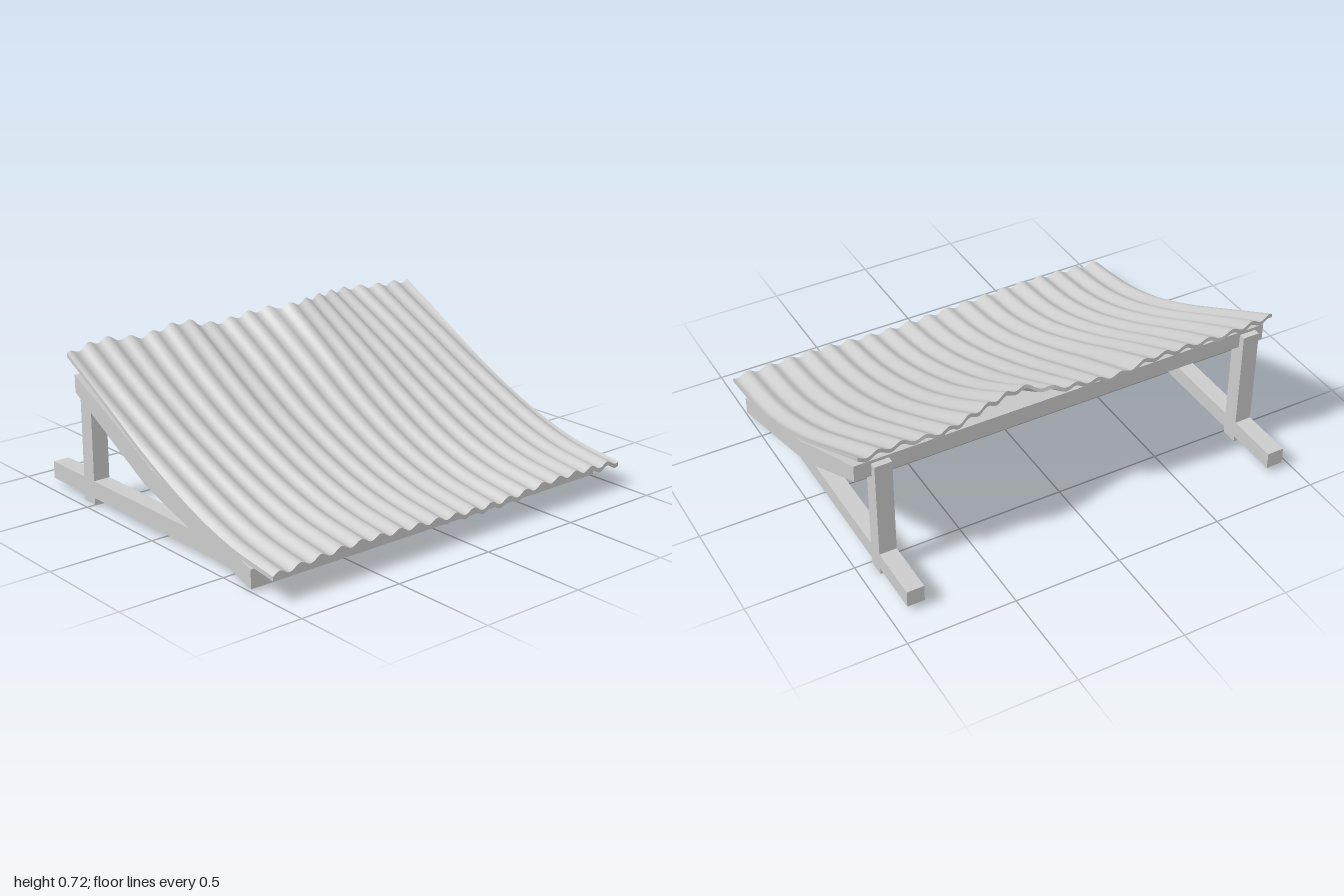
import * as THREE from 'three';

const v2 = (pts) => pts.map(([x, y]) => new THREE.Vector2(x, y));
const spline = (pts) => new THREE.SplineCurve(v2(pts));

// Value of a curve of evenly or unevenly spaced (x, value) points at a given x
function sampler(pts) {
  const table = spline(pts).getPoints(200);
  return (x) => {
    let i = 1;
    while (i < table.length - 1 && table[i].x < x) i++;
    const a = table[i - 1], b = table[i];
    return THREE.MathUtils.lerp(a.y, b.y, (x - a.x) / (b.x - a.x));
  };
}

export function createModel() {
  const model = new THREE.Group();
  const material = new THREE.MeshStandardMaterial({ color: 0xcccccc });
  const add = (name, geometry, x = 0, y = 0, z = 0) => {
    const mesh = new THREE.Mesh(geometry, material);
    mesh.name = name;
    mesh.position.set(x, y, z);
    model.add(mesh);
  };

  // Bent slab under the sheet: side profile as (-z, y), extruded across x
  const profile = new THREE.Shape(v2([
    [-0.68, 0.01], [0.04, 0.24], [0.555, 0.52], [0.555, 0.6],
    [0.17, 0.415], [0, 0.325], [-0.3, 0.22], [-0.68, 0.095],
  ]));
  const slab = new THREE.ExtrudeGeometry(profile, { depth: 1.996, bevelEnabled: false });
  slab.translate(0, 0, -0.998).rotateY(Math.PI / 2);
  add('rampSlab', slab);

  // Corrugated sheet: a thin box bent along the ramp, rippled across x
  const height = sampler([[-0.83, 0.113], [-0.56, 0.152], [-0.3, 0.23], [0, 0.36], [0.23, 0.478], [0.62, 0.685]]);
  const backEdge = sampler([[-1, 0.605], [-0.78, 0.642], [-0.6, 0.622], [-0.37, 0.635], [-0.1, 0.622],
    [0.08, 0.608], [0.22, 0.55], [0.4, 0.585], [0.62, 0.635], [0.8, 0.61], [1, 0.61]]);
  const backLift = sampler([[-1, -0.015], [-0.8, 0.006], [-0.6, -0.01], [-0.37, 0.01], [-0.2, -0.025],
    [0, -0.008], [0.25, 0.012], [0.45, 0.012], [0.65, 0], [1, -0.015]]);
  const frontLift = sampler([[-1, -0.006], [-0.6, 0.014], [-0.3, 0.005], [0.2, -0.014], [0.6, 0.003], [1, -0.006]]);

  const sheet = new THREE.BoxGeometry(2, 0.02, 1, 228, 1, 36);
  const p = sheet.attributes.position;
  for (let i = 0; i < p.count; i++) {
    const x = p.getX(i);
    const t = 0.5 - p.getZ(i); // 0 at the front edge, 1 at the back
    const flat = -0.825 + t * 1.445;
    const ease = t * t;
    const sway = 0.02 * Math.sin(5 * t + 3 * x) * t;
    const ripple = 0.011 * Math.cos((x + sway + 0.02) * Math.PI * 19);
    const y = height(flat) + ripple + ease * backLift(x) + (1 - t) ** 2 * frontLift(x);
    const back = flat + t ** 4 * (backEdge(x) - 0.62);
    p.setXYZ(i, x, y + p.getY(i), -back);
  }
  sheet.computeVertexNormals();
  add('corrugatedSheet', sheet);

  // Post and ground beam on each side
  for (const x of [-0.915, 0.88]) {
    add('rearPost', new THREE.BoxGeometry(0.08, 0.585, 0.08), x, 0.2925, -0.545);
    add('groundBeam', new THREE.BoxGeometry(0.08, 0.08, 1.4), x, 0.07, -0.14);
  }
  return model;
}
